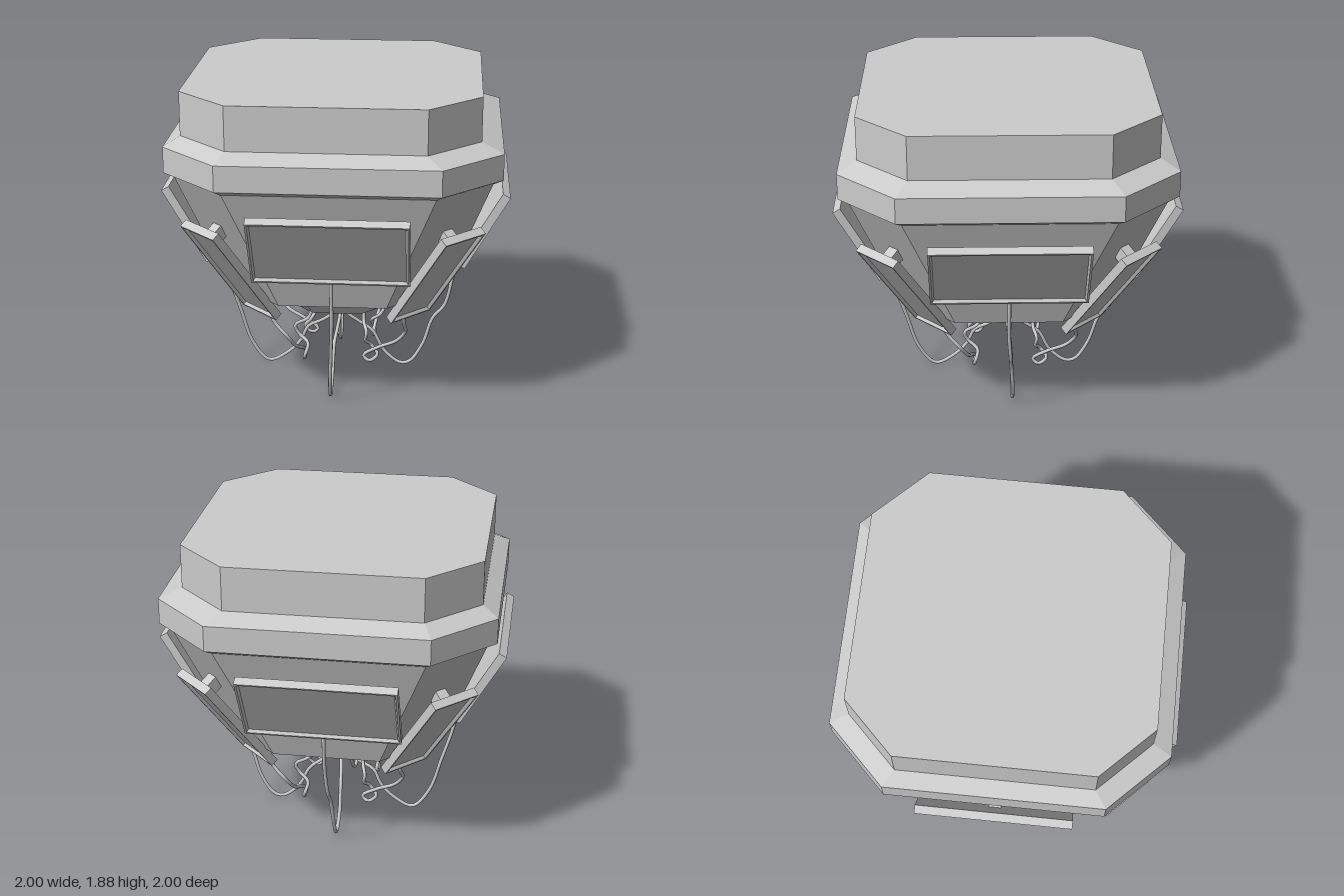
import * as THREE from 'three';

const grey = new THREE.MeshStandardMaterial({ color: 0xcccccc, flatShading: true });
const cableGrey = new THREE.MeshStandardMaterial({ color: 0xcccccc });

// Closed flat-shaded solid through rings of equal length, counter-clockwise about +z
function loft(rings) {
  const pos = [];
  const tri = (...p) => p.forEach(v => pos.push(...v));
  const n = rings[0].length;
  for (let r = 0; r < rings.length - 1; r++) {
    for (let i = 0; i < n; i++) {
      const j = (i + 1) % n, a = rings[r], b = rings[r + 1];
      tri(a[i], a[j], b[j]);
      tri(a[i], b[j], b[i]);
    }
  }
  const first = rings[0], last = rings[rings.length - 1];
  for (let i = 1; i < n - 1; i++) {
    tri(first[0], first[i + 1], first[i]);
    tri(last[0], last[i], last[i + 1]);
  }
  const g = new THREE.BufferGeometry();
  g.setAttribute('position', new THREE.Float32BufferAttribute(pos, 3));
  g.computeVertexNormals();
  return g;
}

// Square with cut corners: half width a, half length of each straight side b
const octagon = (a, b, h, dx = 0) =>
  [[a, -b], [a, b], [b, a], [-b, a], [-a, b], [-a, -b], [-b, -a], [b, -a]].map(([x, y]) => [x + dx, y, h]);

const rect = (w, h, z) => [[w, -h, z], [w, h, z], [-w, h, z], [-w, -h, z]];

function mesh(name, geometry, material = grey) {
  const m = new THREE.Mesh(geometry, material);
  m.name = name;
  return m;
}

function housingPart(name, rings) {
  return mesh(name, loft(rings).rotateX(-Math.PI / 2));
}

// Tilted screen: raised rim, recessed face and a bracket reaching back to the housing
function screen(name, { w, h, r, y, tilt, bracketY }) {
  const g = new THREE.Group();
  g.name = name;
  const a = w / 2, b = h / 2;
  g.add(mesh(name + 'Panel', loft([
    rect(a, b, -0.05), rect(a, b, 0),
    rect(a - 0.012, b - 0.012, 0), rect(a - 0.022, b - 0.022, -0.018),
  ])));
  const bracket = mesh(name + 'Bracket', new THREE.BoxGeometry(0.07, 0.08, 0.11));
  bracket.position.set(0, bracketY, -0.095);
  g.add(bracket);
  g.position.set(0, y, r);
  g.rotation.x = tilt;
  return g;
}

// Points are [sideways, up, outward]
function cable(name, points, side = 1) {
  const curve = new THREE.CatmullRomCurve3(points.map(([x, y, z]) => new THREE.Vector3(x * side, y, z)));
  return mesh(name, new THREE.TubeGeometry(curve, 60, 0.011, 8), cableGrey);
}

const smoothCable = [
  [0, 0.86, 0.725], [0, 0.76, 0.715], [0, 0.57, 0.685], [-0.01, 0.35, 0.62], [-0.02, 0.13, 0.55],
  [-0.025, 0.012, 0.45], [-0.025, 0.06, 0.34], [-0.025, 0.15, 0.25], [-0.02, 0.25, 0.2],
  [-0.01, 0.3, 0.11], [0, 0.36, 0.04], [0, 0.48, 0.03],
];
const kinkedCable = [
  [0, 0.86, 0.725], [0, 0.76, 0.715], [0, 0.58, 0.68], [0.01, 0.42, 0.64], [0.015, 0.33, 0.57],
  [0.025, 0.15, 0.51], [0.025, 0.03, 0.43], [0.025, 0.02, 0.37], [0.025, 0.1, 0.27],
  [0.02, 0.23, 0.2], [0.01, 0.3, 0.11], [0, 0.36, 0.04], [0, 0.48, 0.03],
];
// Corner cable with a loose loop before it rises into the base
const loopedCable = [
  [0, 0.55, 0.57], [0.03, 0.45, 0.54], [0.09, 0.36, 0.49], [0.08, 0.28, 0.42], [0.02, 0.22, 0.32],
  [-0.03, 0.16, 0.25], [-0.01, 0.13, 0.28], [0.03, 0.17, 0.31], [0.01, 0.23, 0.27],
  [-0.05, 0.28, 0.29], [-0.06, 0.34, 0.31], [-0.02, 0.38, 0.24], [0, 0.48, 0.22],
];

export function createModel() {
  const model = new THREE.Group();
  model.name = 'hangingScreenCluster';

  // Housing, from the base up
  model.add(
    housingPart('base', [octagon(0.27, 0.14, 0.46), octagon(0.4, 0.2, 0.59), octagon(0.4, 0.2, 0.64)]),
    housingPart('taperedBody', [octagon(0.4, 0.2, 0.59), octagon(0.63, 0.31, 0.65), octagon(0.9, 0.59, 1.41)]),
    housingPart('rimBand', [
      octagon(0.9, 0.59, 1.4), octagon(0.95, 0.615, 1.43), octagon(0.95, 0.615, 1.58),
      octagon(0.843, 0.55, 1.63, -0.017),
    ]),
    housingPart('topBlock', [octagon(0.843, 0.55, 1.6, -0.017), octagon(0.843, 0.55, 1.885, -0.017)]),
  );

  // Four sides and four corners, each with its screen and cable
  for (let i = 0; i < 4; i++) {
    const side = new THREE.Group();
    side.name = 'side' + (i + 1);
    side.rotation.y = i * Math.PI / 2;
    side.add(
      screen('wideScreen', { w: 0.895, h: 0.5, r: 0.875, y: 1.053, tilt: Math.PI / 6, bracketY: 0.09 }),
      cable('sideCable', i === 0 || i === 3 ? smoothCable : kinkedCable),
    );

    const corner = new THREE.Group();
    corner.name = 'corner' + (i + 1);
    corner.rotation.y = (i + 0.5) * Math.PI / 2;
    corner.add(
      screen('tallScreen', { w: 0.31, h: 0.74, r: 0.845, y: 0.825, tilt: 0.627, bracketY: 0.26 }),
      cable('cornerCable', loopedCable),
    );
    model.add(side, corner);
  }
  return model;
}
